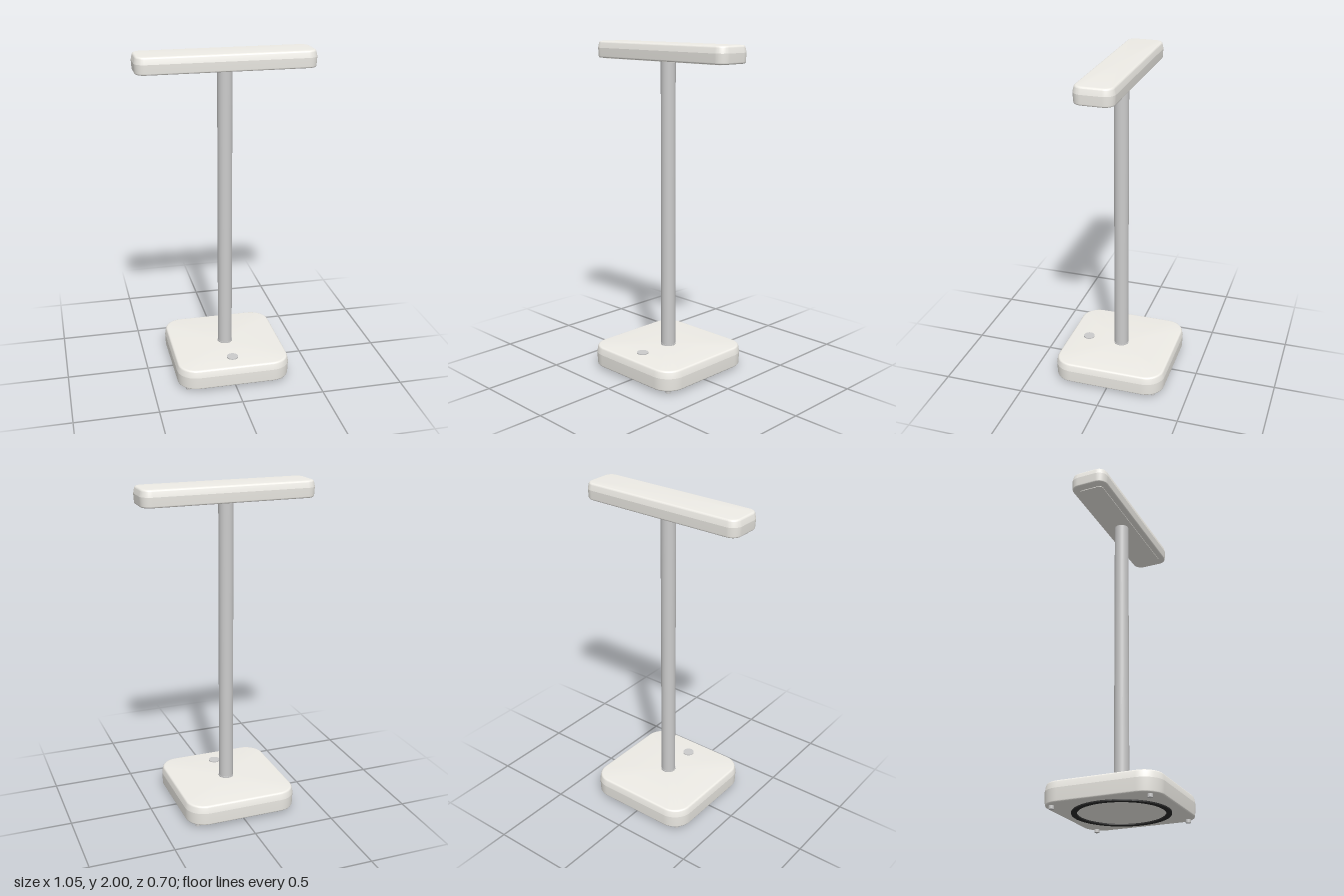
import * as THREE from 'three';
import { toCreasedNormals } from 'three/addons/utils/BufferGeometryUtils.js';

const shell = new THREE.MeshStandardMaterial({ color: 0xeeece6 });
const grey = new THREE.MeshStandardMaterial({ color: 0xcccccc });
const rubber = new THREE.MeshStandardMaterial({ color: 0x2a2a2a });

// Outline of a rounded rectangle in x/z, shrunk evenly by inset
function outline(hw, hd, r, inset) {
  const pts = [], n = 12, rad = r - inset;
  for (let c = 0; c < 4; c++) {
    const sx = c === 0 || c === 3 ? 1 : -1, sz = c < 2 ? 1 : -1;
    for (let i = 0; i <= n; i++) {
      const a = (c + i / n) * Math.PI / 2;
      pts.push([sx * (hw - r) + rad * Math.cos(a), sz * (hd - r) + rad * Math.sin(a)]);
    }
  }
  return pts;
}

// Capped slab from stacked outlines; profile lists [inset, y] from bottom to top
function slab(hw, hd, r, profile) {
  const pos = [], idx = [];
  const n = outline(hw, hd, r, 0).length;
  profile.forEach(([inset, y]) => outline(hw, hd, r, inset).forEach(([x, z]) => pos.push(x, y, z)));
  for (let k = 0; k < profile.length - 1; k++) {
    for (let i = 0; i < n; i++) {
      const a = k * n + i, b = k * n + (i + 1) % n;
      idx.push(a, a + n, b, b, a + n, b + n);
    }
  }
  const top = (profile.length - 1) * n, c = pos.length / 3;
  pos.push(0, profile[0][1], 0, 0, profile[profile.length - 1][1], 0);
  for (let i = 0; i < n; i++) {
    const j = (i + 1) % n;
    idx.push(c, i, j, c + 1, top + j, top + i);
  }
  const g = new THREE.BufferGeometry();
  g.setAttribute('position', new THREE.Float32BufferAttribute(pos, 3));
  g.setIndex(idx);
  return toCreasedNormals(g, 0.21);
}

// Housing profile: softened bottom, seam at the widest line, rounded top
function housing(y0, seam, y1) {
  const p = [], n = 8, rb = 0.01, rt = 0.014;
  for (let i = 0; i <= n; i++) {
    const a = i / n * Math.PI / 2;
    p.push([0.003 + rb * (1 - Math.sin(a)), y0 + rb * (1 - Math.cos(a))]);
  }
  p.push([0, seam]);
  for (let i = 0; i <= n; i++) {
    const a = (0.17 + 0.83 * i / n) * Math.PI / 2;
    p.push([0.006 + rt * (1 - Math.cos(a)), y1 - rt * (1 - Math.sin(a))]);
  }
  return p;
}

export function createModel() {
  const group = new THREE.Group();
  const add = (name, geometry, material, x = 0, y = 0, z = 0) => {
    const m = new THREE.Mesh(geometry, material);
    m.name = name;
    m.position.set(x, y, z);
    group.add(m);
  };
  const disc = (r, h) => new THREE.CylinderGeometry(r, r, h, 48);

  // Base and lamp head
  add('base', slab(0.35, 0.35, 0.12, housing(0.02, 0.1, 0.145)), shell);
  add('head', slab(0.527, 0.117, 0.06, housing(1.9, 1.96, 2)), shell);

  // Light panel under the head
  add('lightPanel', slab(0.475, 0.077, 0.025, [[0, 1.896], [0, 1.91]]), shell);

  // Post with a thin collar at its foot
  add('post', disc(0.044, 1.77), grey, 0, 1.025, 0);
  add('collar', disc(0.046, 0.01), grey, 0, 0.148, 0);

  // Touch button
  add('button', disc(0.035, 0.014), grey, 0, 0.144, 0.22);

  // Anti-slip ring on the underside
  const ring = new THREE.Shape().absarc(0, 0, 0.282, 0, Math.PI * 2);
  ring.holes.push(new THREE.Path().absarc(0, 0, 0.25, 0, Math.PI * 2, true));
  const ringGeo = new THREE.ExtrudeGeometry(ring, { depth: 0.012, bevelEnabled: false, curveSegments: 48 });
  ringGeo.rotateX(-Math.PI / 2);
  add('gripRing', toCreasedNormals(ringGeo, 0.5), rubber, 0, 0.012, 0);

  // Four feet
  for (const x of [-0.29, 0.29]) for (const z of [-0.29, 0.29]) {
    add('foot', new THREE.CylinderGeometry(0.015, 0.015, 0.03, 24), grey, x, 0.015, z);
  }
  return group;
}
